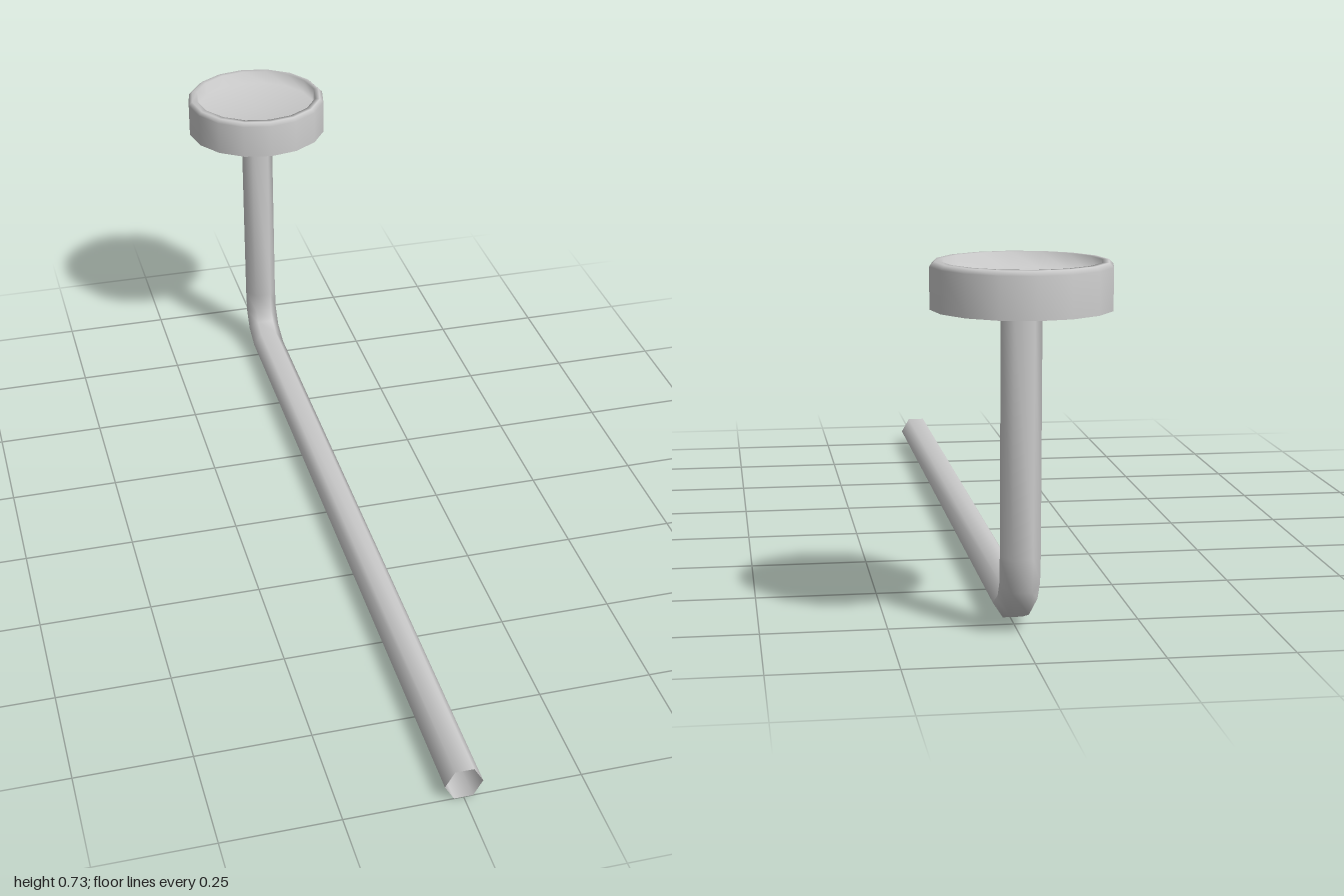
import * as THREE from 'three';

const material = new THREE.MeshStandardMaterial({ color: 0xcccccc, side: THREE.DoubleSide });

// Lofts a six-sided section along a path of [z, y, half-depth] stations
function hexPipe(stations, halfWidth) {
  const sides = 6, positions = [], index = [];
  const centres = stations.map(([z, y]) => new THREE.Vector3(0, y, z));
  centres.forEach((c, i) => {
    const before = centres[Math.max(i - 1, 0)];
    const after = centres[Math.min(i + 1, centres.length - 1)];
    const across = new THREE.Vector3(1, 0, 0);
    const tangent = after.clone().sub(before).normalize();
    // End sections are cut square to the axes
    if (i === 0) tangent.set(0, 0, -1);
    if (i === centres.length - 1) tangent.set(0, 1, 0);
    const down = tangent.cross(across);
    for (let s = 0; s < sides; s++) {
      const a = (s / sides) * Math.PI * 2;
      const p = c.clone()
        .addScaledVector(across, Math.cos(a) * halfWidth)
        .addScaledVector(down, Math.sin(a) / Math.sin(Math.PI / 3) * stations[i][2]);
      positions.push(p.x, p.y, p.z);
      if (i < centres.length - 1) {
        const p0 = i * sides + s, p1 = i * sides + (s + 1) % sides;
        index.push(p0, p1, p0 + sides, p1, p1 + sides, p0 + sides);
      }
    }
  });
  const geometry = new THREE.BufferGeometry();
  geometry.setAttribute('position', new THREE.Float32BufferAttribute(positions, 3));
  geometry.setIndex(index);
  geometry.computeVertexNormals();
  return geometry;
}

export function createModel() {
  const model = new THREE.Group();

  // Bent pipe, open at both ends, rising into the hollow under the cup
  const pipe = new THREE.Mesh(hexPipe([
    [1, 0.036, 0.035],
    [-0.735, 0.042, 0.031],
    [-0.79, 0.063, 0.032],
    [-0.818, 0.103, 0.033],
    [-0.824, 0.16, 0.033],
    [-0.824, 0.648, 0.033],
  ], 0.04), material);
  pipe.name = 'bentPipe';

  // Cup as one thin sheet: outer skirt, bevelled rim, inner wall and floor
  const profile = [
    [0.175, 0.641], [0.175, 0.722], [0.166, 0.731],
    [0.153, 0.731], [0.149, 0.7], [0, 0.7],
  ].map(([r, y]) => new THREE.Vector2(r, y));
  const cup = new THREE.Mesh(new THREE.LatheGeometry(profile, 16), material);
  cup.name = 'cup';
  cup.position.z = -0.825;

  model.add(pipe, cup);
  return model;
}
